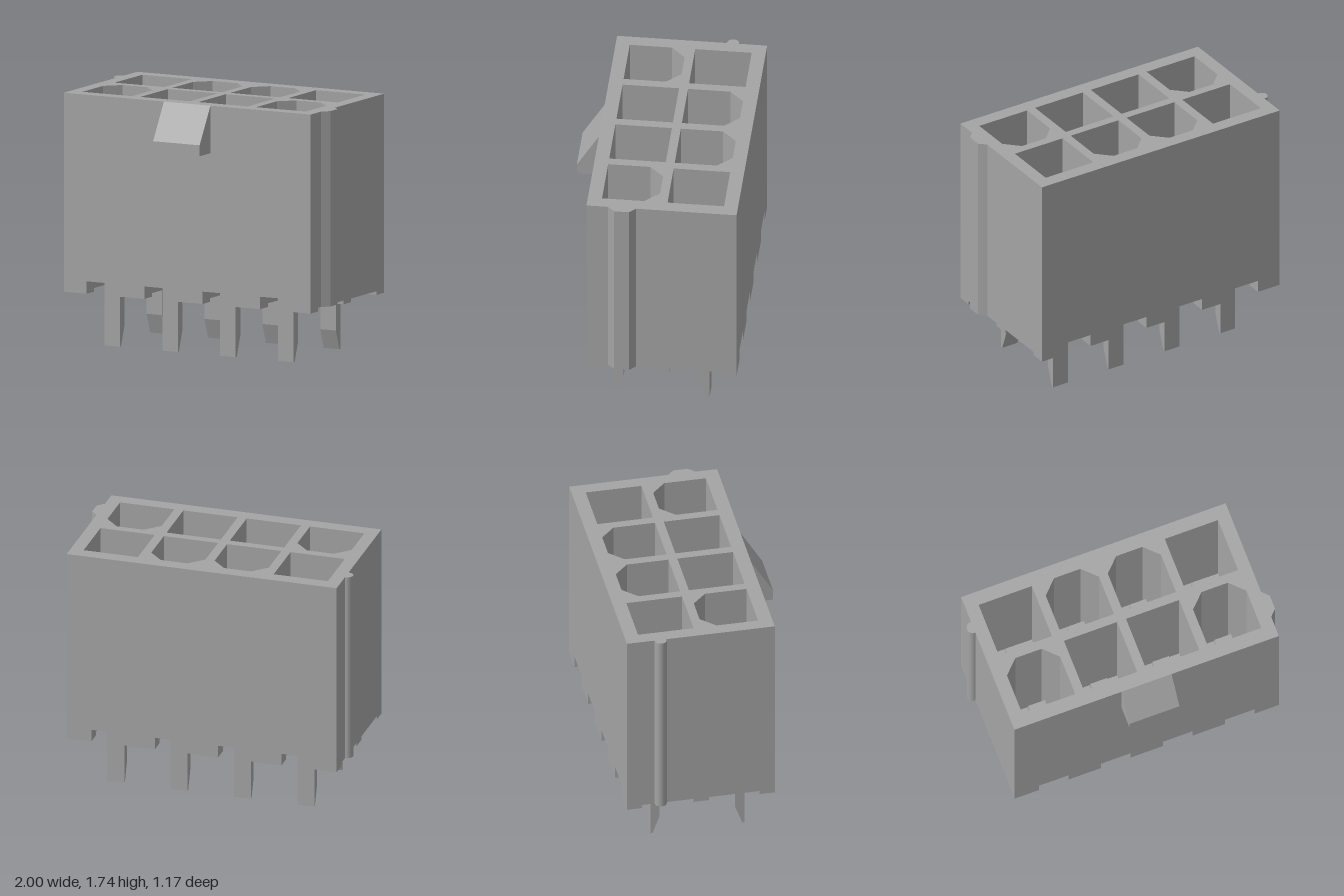
import * as THREE from 'three';

const grey = new THREE.MeshStandardMaterial({ color: 0xa4a4a4 });
grey.name = 'grey plastic';

const TOP = 1.735, FLOOR = 0.68, POCKET = 0.458, BASE = 0.398, FOOT = 0.373;
const HALF = 0.955, BACK = -0.585, FRONT = 0.435;
const columns = [-0.672, -0.224, 0.224, 0.672];

const toShape = (pts) => new THREE.Shape(pts.map(([a, b]) => new THREE.Vector2(a, b)));

// Outline given as [x, z], raised from y0 to y1; holes wind the opposite way
function prism(outline, y0, y1, holes = []) {
  const flip = (pts) => pts.map(([x, z]) => [x, -z]);
  const shape = toShape(flip(outline));
  shape.holes = holes.map((h) => toShape(flip(h).reverse()));
  const geo = new THREE.ExtrudeGeometry(shape, { depth: y1 - y0, bevelEnabled: false });
  return geo.rotateX(-Math.PI / 2).translate(0, y0, 0);
}

// Side profile given as [z, y], spread across a width centred on x
function sideProfile(profile, width, x) {
  const geo = new THREE.ExtrudeGeometry(toShape(profile), { depth: width, bevelEnabled: false });
  return geo.translate(0, 0, -width / 2).rotateY(-Math.PI / 2).translate(x, 0, 0);
}

const rect = (x0, x1, z0, z1) => [[x0, z0], [x1, z0], [x1, z1], [x0, z1]];

// Socket opening; keyed ones have cut corners at the back
function socket(x, z, keyed) {
  const h = 0.192, c = 0.097;
  const back = keyed
    ? [[x - h, z - h + c], [x - h + c, z - h], [x + h - c, z - h], [x + h, z - h + c]]
    : [[x - h, z - h], [x + h, z - h]];
  return [...back, [x + h, z + h], [x - h, z + h]];
}

export function createModel() {
  const model = new THREE.Group();
  const add = (name, geo, parent = model) => {
    const mesh = new THREE.Mesh(geo, grey);
    mesh.name = name;
    parent.add(mesh);
  };

  // Housing walls with eight sockets, and the floor beneath them
  const sockets = columns.flatMap((x, i) => {
    const outer = i === 0 || i === 3;
    return [socket(x, 0.147, outer), socket(x, -0.298, !outer)];
  });
  const outline = rect(-HALF, HALF, BACK, FRONT);
  add('housing', prism(outline, FLOOR, TOP, sockets));
  add('housingFloor', prism(outline, POCKET, FLOOR));

  // Underside: blocks between the pin pockets, with feet front and back
  const underside = new THREE.Group();
  underside.name = 'underside';
  model.add(underside);
  const notch = 0.107;
  for (let i = 0; i <= columns.length; i++) {
    const x0 = i === 0 ? -HALF : columns[i - 1] + notch;
    const x1 = i === columns.length ? HALF : columns[i] - notch;
    add('pocketDivider', prism(rect(x0, x1, BACK, FRONT), BASE, POCKET), underside);
    add('frontFoot', prism(rect(x0, x1, 0.33, FRONT), FOOT, BASE), underside);
    add('backFoot', prism(rect(x0, x1, BACK, -0.48), FOOT, BASE), underside);
  }
  add('middleFoot', prism(rect(-HALF, HALF, -0.127, -0.02), FOOT, POCKET), underside);

  // Latch wedge on the front
  add('latch', sideProfile([[FRONT - 0.005, 1.41], [0.585, 1.41], [0.585, 1.485], [FRONT, TOP], [FRONT - 0.005, TOP]], 0.36, 0));

  // Angular rib on the left side, round rib on the right side
  add('leftRib', prism([[HALF, 0.097], [1, 0.142], [1, 0.242], [HALF, 0.288]], BASE, TOP));
  const rib = new THREE.CylinderGeometry(0.041, 0.041, TOP - BASE, 24);
  add('rightRib', rib.translate(-0.959, (TOP + BASE) / 2, -0.353));

  // Pins: a square contact in each socket, stepping out to a pointed lead
  const pin = [[0.257, 0], [0.271, 0], [0.271, 0.74], [0.226, 0.82], [0.226, 1.15],
    [0.108, 1.15], [0.108, 0.62], [0.208, 0.62], [0.208, 0.135]];
  const pinBack = pin.map(([z, y]) => [-0.105 - z, y]);
  for (const x of columns) {
    add('frontPin', sideProfile(pin, 0.12, x));
    add('backPin', sideProfile(pinBack, 0.12, x));
  }
  return model;
}
